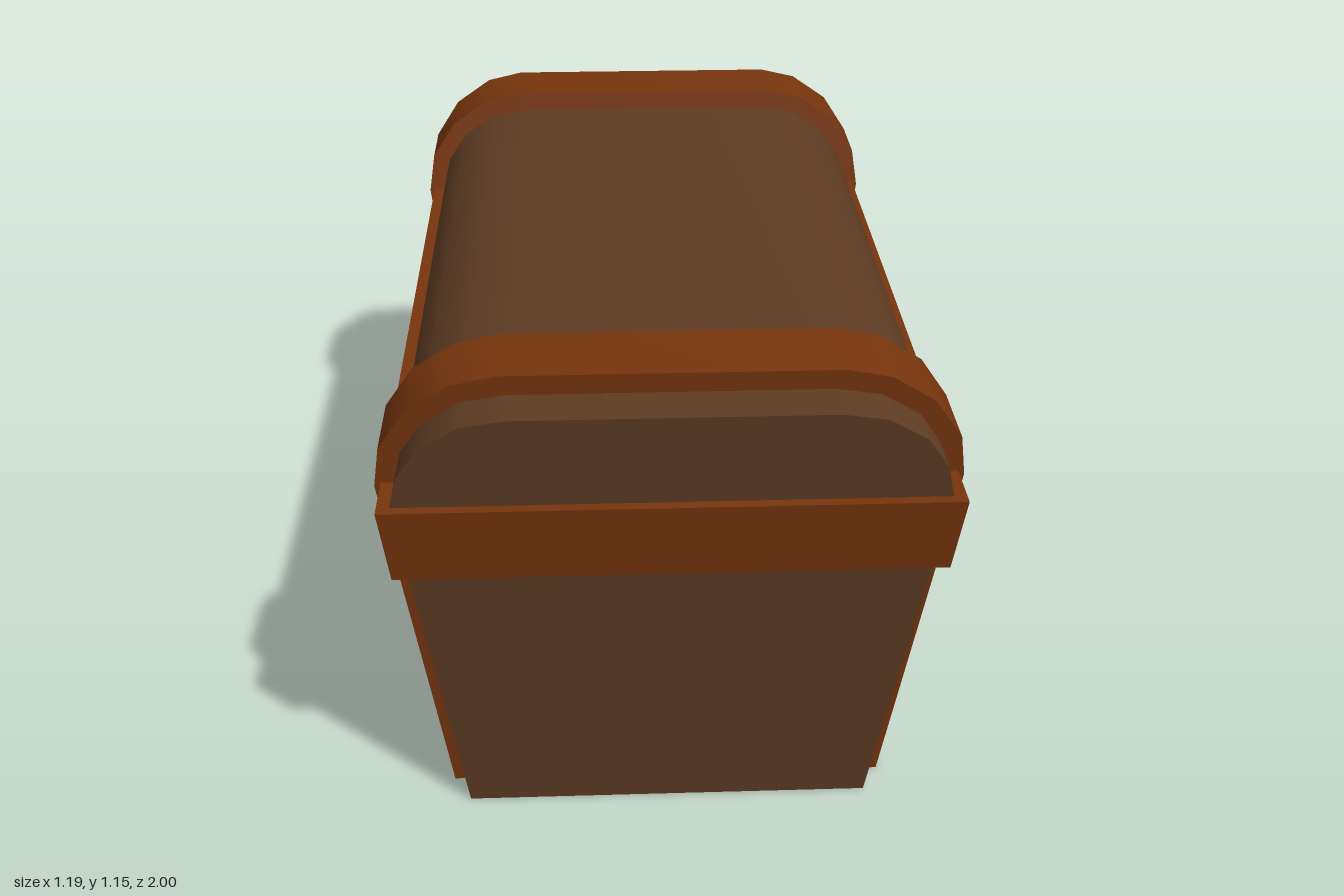
import * as THREE from 'three';
import { toCreasedNormals } from 'three/addons/utils/BufferGeometryUtils.js';

const mat = (name, color) => {
  const m = new THREE.MeshStandardMaterial({ color });
  m.name = name;
  return m;
};

// Right half of each arch, from floor to crown
const BODY = [[0.45, 0], [0.556, 0.89], [0.537, 0.97], [0.49, 1.04], [0.41, 1.09], [0.32, 1.105]];
const STRAP = [[0.49, 0], [0.595, 0.885], [0.58, 0.98], [0.52, 1.07], [0.43, 1.13], [0.34, 1.15]];
const BAND = [[0.565, 0.715], [0.582, 0.893]];

const mirrored = (half) => [...half, ...half.map(([x, y]) => [-x, y]).reverse()];
const toShape = (pts) => new THREE.Shape(pts.map(([x, y]) => new THREE.Vector2(x, y)));

// Extrude an outline between two leaning planes z = back(y) and z = front(y)
function leaningExtrude(pts, back, front) {
  const geo = new THREE.ExtrudeGeometry(toShape(pts), { depth: 1, bevelEnabled: false });
  const p = geo.attributes.position;
  for (let i = 0; i < p.count; i++) {
    const y = p.getY(i);
    p.setZ(i, THREE.MathUtils.lerp(back(y), front(y), p.getZ(i)));
  }
  return toCreasedNormals(geo, THREE.MathUtils.degToRad(35));
}

// Four-pointed star outline
function starPoints(outer, inner, turn) {
  return Array.from({ length: 8 }, (_, i) => {
    const r = i % 2 ? inner : outer;
    const a = turn + (i * Math.PI) / 4;
    return [r * Math.cos(a), r * Math.sin(a)];
  });
}

export function createModel() {
  const wood = mat('dark wood', 0x5f3c23);
  const trim = mat('reddish trim', 0x77350d);
  const gold = mat('gold', 0xb4883c);
  const silver = mat('silver', 0xc8c8c8);

  const model = new THREE.Group();
  model.name = 'chest';
  const add = (parent, name, geo, material) => {
    const mesh = new THREE.Mesh(geo, material);
    mesh.name = name;
    parent.add(mesh);
    return mesh;
  };

  // Flared body with rounded lid
  const end = (y) => 0.8 + 0.181 * y;
  add(model, 'body', leaningExtrude(mirrored(BODY), (y) => -end(y), end), wood);

  // Band around the rim
  const rim = (y) => 0.95 + 0.19 * (y - 0.715);
  add(model, 'rimBand', leaningExtrude(mirrored(BAND), (y) => -rim(y), rim), trim);

  // Two straps arching over the lid
  const strapOutline = [...mirrored(STRAP), ...mirrored(BODY).reverse()];
  const near = (y) => 0.59 + 0.117 * y;
  const far = (y) => 0.73 + 0.152 * y;
  add(model, 'frontStrap', leaningExtrude(strapOutline, near, far), trim);
  add(model, 'backStrap', leaningExtrude(strapOutline, (y) => -far(y), (y) => -near(y)), trim);

  // Layered emblem lying on the left wall
  const emblem = new THREE.Group();
  emblem.name = 'emblem';
  emblem.position.set(0.493, 0.358, 0);
  emblem.rotation.set(0, Math.PI / 2, -Math.atan(0.119), 'ZYX');
  model.add(emblem);

  const octagon = Array.from({ length: 8 }, (_, i) => {
    const a = ((i + 0.5) * Math.PI) / 4;
    return [0.363 * Math.cos(a), 0.363 * Math.sin(a)];
  });
  const layer = (name, pts, z, depth, material) => {
    const geo = new THREE.ExtrudeGeometry(toShape(pts), { depth, bevelEnabled: false });
    add(emblem, name, geo, material).position.z = z;
  };
  layer('emblemPlate', octagon, -0.005, 0.03, gold);
  layer('diagonalStar', starPoints(0.255, 0.1, Math.PI / 4), 0.025, 0.018, silver);
  layer('mainStar', starPoints(0.326, 0.106, 0), 0.025, 0.04, trim);

  return model;
}
